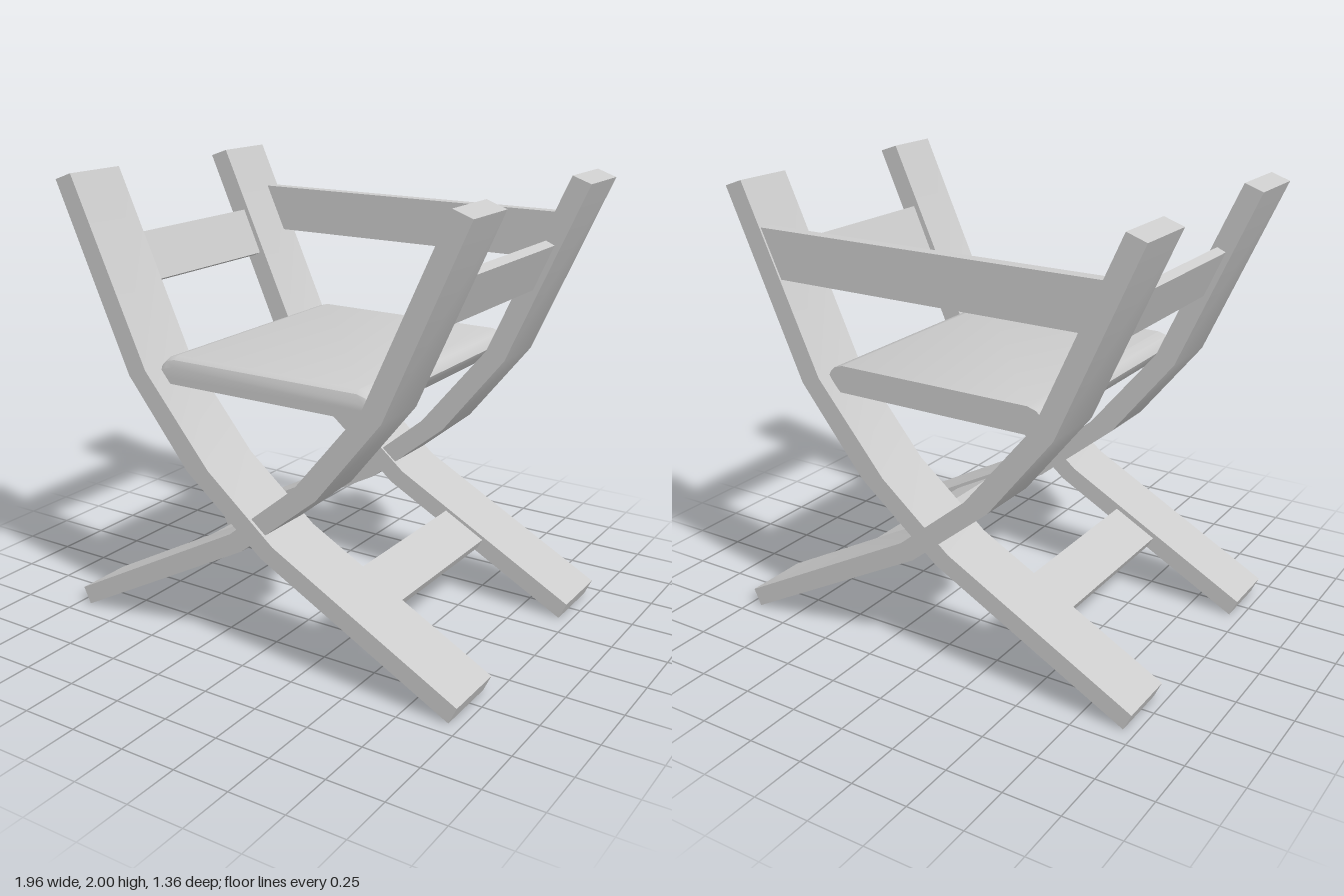
import * as THREE from 'three';
import { toCreasedNormals } from 'three/addons/utils/BufferGeometryUtils.js';

const material = new THREE.MeshStandardMaterial({ color: 0xcccccc });

// Solid with an outline in x/y, running from z0 to z1
function slab(points, z0, z1, steps = 1) {
  const shape = new THREE.Shape(points.map(([x, y]) => new THREE.Vector2(x, y)));
  const geometry = new THREE.ExtrudeGeometry(shape, { depth: z1 - z0, steps, bevelEnabled: false });
  return geometry.translate(0, 0, z0);
}

// Bent leg outline: foot at +x, top at -x
const legOutline = [
  [0.945, 0.005], [0.98, 0.08], [0.115, 0.547], [-0.21, 0.815], [-0.53, 1.2], [-0.895, 2],
  [-0.98, 1.97], [-0.62, 1.165], [-0.32, 0.79], [0.055, 0.483],
];

// Seat cross-section, right half; mirrored for the left
const seatHalf = [[0.47, 1.13], [0.51, 1.175], [0.525, 1.2], [0.515, 1.22], [0.495, 1.238], [0.455, 1.25]];

function seatGeometry() {
  const left = seatHalf.map(([x, y]) => [-x, y]).reverse();
  const geometry = slab([...seatHalf, ...left], 0, 3, 3);
  // Round the front edge over the last steps
  const zs = [-0.6, 0.555, 0.58, 0.59];
  const drops = [0, 0, 0.015, 0.045];
  const pos = geometry.attributes.position;
  for (let i = 0; i < pos.count; i++) {
    const step = Math.round(pos.getZ(i));
    const height = (pos.getY(i) - 1.13) / 0.12;
    pos.setXYZ(i, pos.getX(i), pos.getY(i) - drops[step] * height, zs[step]);
  }
  return geometry;
}

export function createModel() {
  const group = new THREE.Group();
  const add = (name, geometry) => {
    const mesh = new THREE.Mesh(toCreasedNormals(geometry, 0.55), material);
    mesh.name = name;
    group.add(mesh);
    return mesh;
  };

  // Crossed legs, front and back pairs; one direction is slightly narrower
  const mirrored = legOutline.map(([x, y]) => [-x, y]);
  add('frontLegRisingRight', slab(legOutline, 0.38, 0.68));
  add('backLegRisingRight', slab(legOutline, -0.68, -0.38));
  add('frontLegRisingLeft', slab(mirrored, 0.4, 0.665));
  add('backLegRisingLeft', slab(mirrored, -0.665, -0.39));

  // Side rails and foot stretchers, tilted along the legs
  for (const [side, s] of [['left', 1], ['right', -1]]) {
    const rail = add(side + 'SideRail', new THREE.BoxGeometry(0.044, 0.221, 0.79));
    rail.position.set(s * 0.766, 1.61, 0);
    rail.rotation.z = -s * 0.418;

    const stretcher = add(side + 'Stretcher', new THREE.BoxGeometry(0.22, 0.051, 0.78));
    stretcher.position.set(s * 0.44, 0.325, 0);
    stretcher.rotation.z = -s * 0.495;
  }

  // Back rail, ends cut to the slope of the legs
  add('backRail', slab([[-0.715, 1.6], [0.715, 1.6], [0.81, 1.81], [-0.81, 1.81]], -0.656, -0.6));

  add('seat', seatGeometry());
  return group;
}
